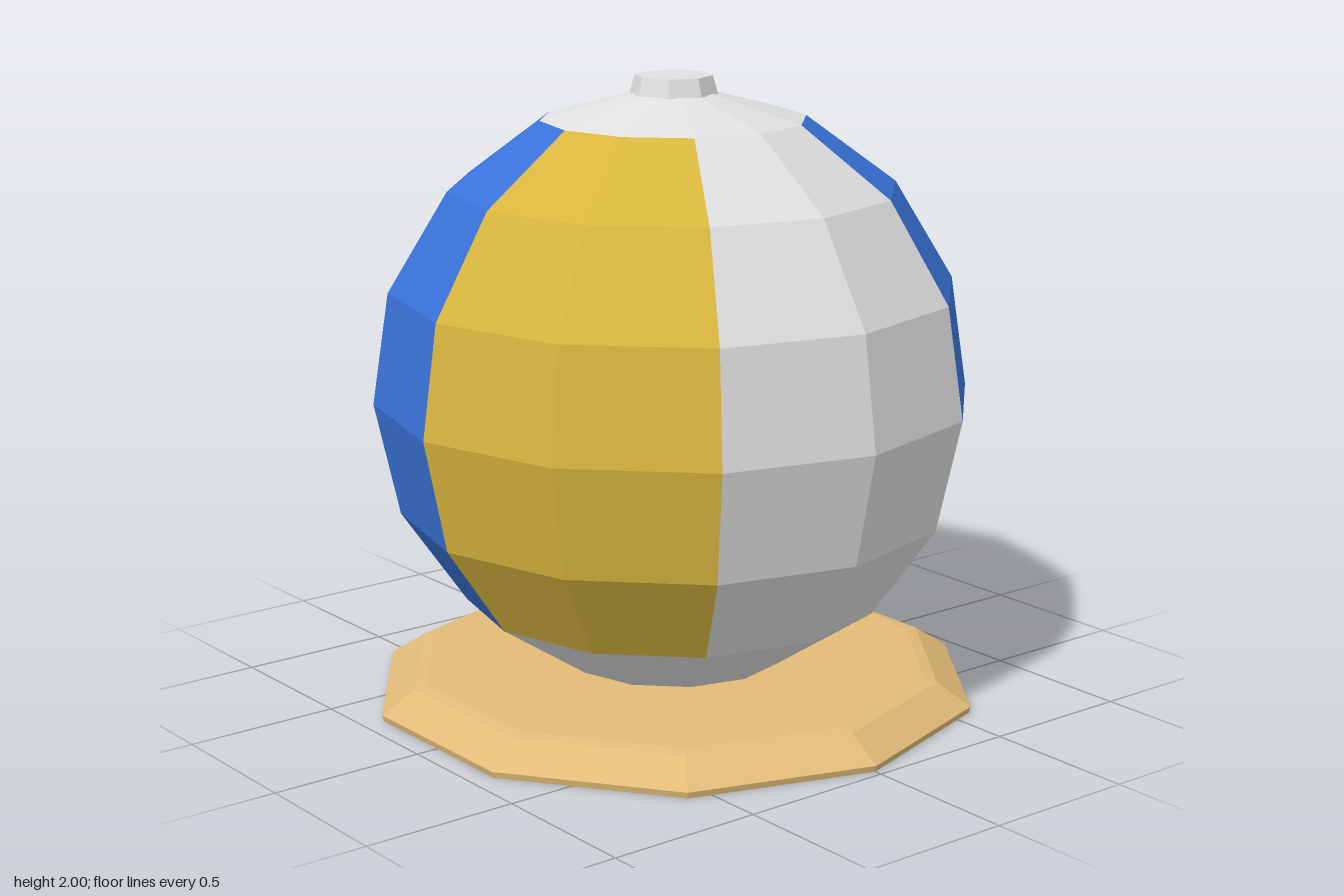
import * as THREE from 'three';

const material = (name, color) => {
  const m = new THREE.MeshStandardMaterial({ color });
  m.name = name;
  return m;
};

// Faceted solid of revolution; profile runs bottom to top as [radius, y]
function facetedLathe(name, profile, segments, mat, startDeg = 0, sweepDeg = 360) {
  const points = profile.map(([r, y]) => new THREE.Vector2(r, y));
  const geometry = new THREE.LatheGeometry(
    points, segments,
    THREE.MathUtils.degToRad(startDeg), THREE.MathUtils.degToRad(sweepDeg)
  ).toNonIndexed();
  geometry.computeVertexNormals();
  const mesh = new THREE.Mesh(geometry, mat);
  mesh.name = name;
  return mesh;
}

export function createModel() {
  const model = new THREE.Group();
  model.name = 'beachBallOnStand';

  const white = material('white', 0xe0e0e0);
  const blue = material('blue', 0x3a74dc);
  const red = material('red', 0xd94040);
  const yellow = material('yellow', 0xd8b53e);
  const tan = material('tan', 0xe2bb78);

  // Ball: six panels, each two facets wide, running between the end caps
  const ball = new THREE.Group();
  ball.name = 'ball';
  const panelProfile = [
    [0.67, 0.325], [0.875, 0.62], [0.953, 0.98], [0.9, 1.335], [0.71, 1.65], [0.42, 1.865],
  ];
  const panels = [
    ['frontPanel', white], ['frontLeftPanel', blue], ['backLeftPanel', red],
    ['backPanel', white], ['backRightPanel', blue], ['frontRightPanel', yellow],
  ];
  panels.forEach(([name, mat], i) => {
    ball.add(facetedLathe(name, panelProfile, 2, mat, -30 + i * 60, 60));
  });

  // Shallow white caps closing the ball
  ball.add(facetedLathe('bottomCap', [[0, 0.05], [0.36, 0.12], [0.67, 0.325]], 12, white));
  ball.add(facetedLathe('topCap', [[0.42, 1.865], [0.13, 1.945], [0, 1.95]], 12, white));
  model.add(ball);

  // Tapered eight-sided valve
  model.add(facetedLathe('valve', [[0, 1.93], [0.142, 1.93], [0.122, 2], [0, 2]], 8, white));

  // Ten-sided stand with a thin lip and sloped rim
  model.add(facetedLathe('stand',
    [[0, 0], [0.975, 0], [0.98, 0.02], [0.87, 0.092], [0.83, 0.1], [0, 0.1]], 10, tan));

  return model;
}
